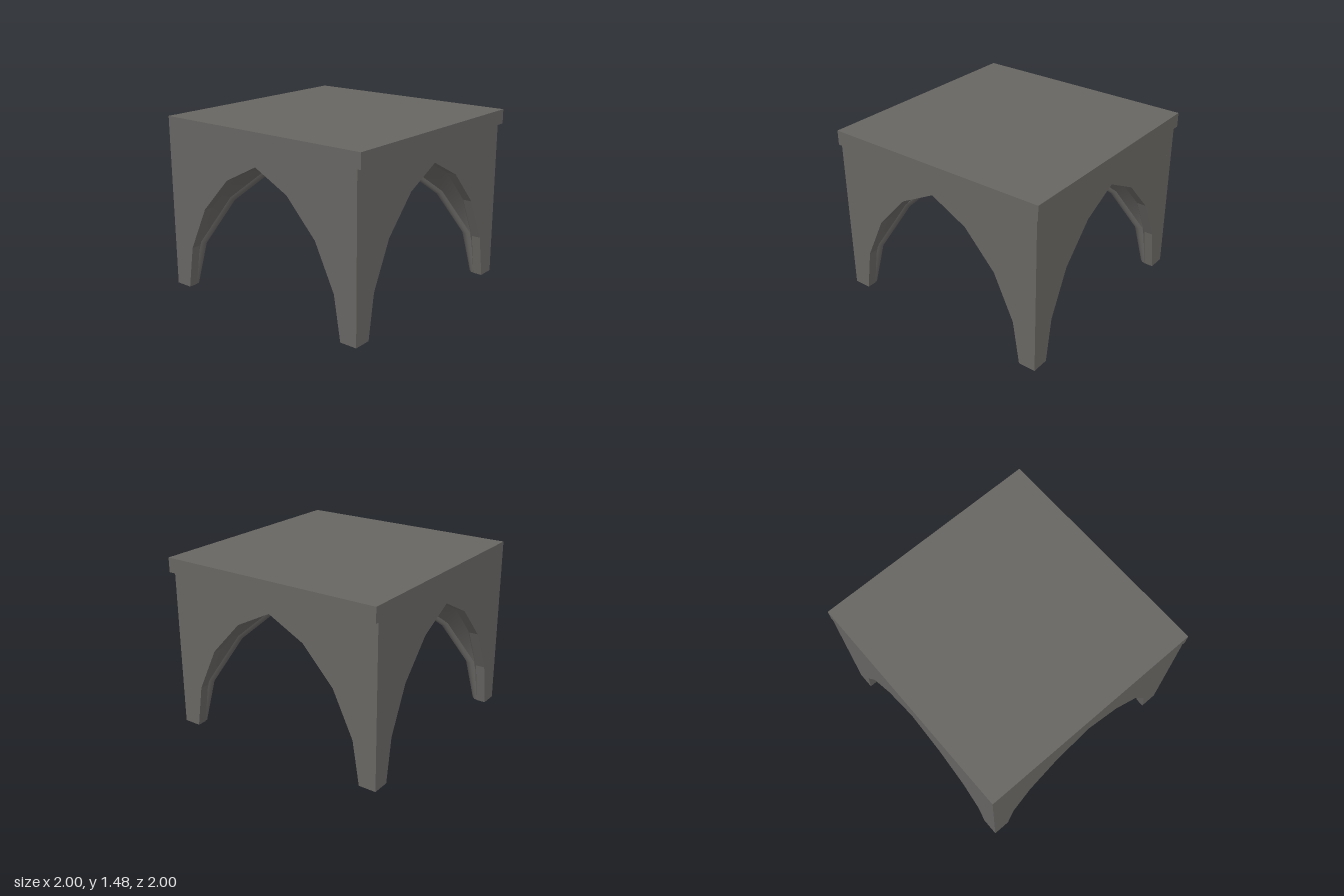
import * as THREE from 'three';

// Half profile of the pointed arch (half width, height) and the vault line just behind it
const ARCH = [[0.835, 0], [0.775, 0.37], [0.595, 0.747], [0.32, 1.042], [0, 1.205]];
const VAULT = [[0.87, 0], [0.81, 0.385], [0.627, 0.772], [0.337, 1.075], [0, 1.245]];
const HALF = 0.985, WALL = 0.08, WALL_TOP = 1.355, TOP = 1.48;

// Both sides of a half profile, from right foot over the apex to left foot
const whole = (half) => [...half, ...half.slice(0, -1).reverse().map(([x, y]) => [-x, y])];

// Smooth surface through rows of points
function loft(rows) {
  const n = rows[0].length, index = [];
  for (let i = 0; i < rows.length - 1; i++) {
    for (let j = 0; j < n - 1; j++) {
      const a = i * n + j, b = a + n;
      index.push(a, b, a + 1, b, b + 1, a + 1);
    }
  }
  const geo = new THREE.BufferGeometry();
  geo.setAttribute('position', new THREE.Float32BufferAttribute(rows.flat(2), 3));
  geo.setIndex(index);
  geo.computeVertexNormals();
  return geo;
}

// Outer wall with the arch cut out of it
function wallGeometry() {
  const s = new THREE.Shape();
  s.moveTo(-HALF, 0);
  s.lineTo(-HALF, WALL_TOP);
  s.lineTo(HALF, WALL_TOP);
  s.lineTo(HALF, 0);
  whole(ARCH).forEach(([x, y]) => s.lineTo(x, y));
  const geo = new THREE.ExtrudeGeometry(s, { depth: WALL, bevelEnabled: false });
  return geo.translate(0, 0, HALF - WALL);
}

// Slanted inner edge of the arch, leading back to the vault
function bevelGeometry() {
  const outer = whole(VAULT);
  return loft(whole(ARCH).map(([x, y], i) => [
    [x, y, HALF - WALL], [outer[i][0], outer[i][1], HALF - WALL - 0.035],
  ]));
}

// One half of a vault bay, from the wall back to the diagonal groin
function webGeometry(side) {
  return loft(VAULT.map(([x, y]) => [[side * x, y, HALF - WALL - 0.03], [side * x, y, x]]));
}

// Diagonal rib from one foot to the crown
function ribGeometry() {
  const section = [[-0.06, 0.05], [-0.048, 0.022], [-0.025, 0], [0.025, 0], [0.048, 0.022], [0.06, 0.05]];
  const path = ARCH.map(([p, y]) => [p === 0 ? 0 : (p + 0.025) * Math.SQRT2, y]);
  const last = path.length - 1;
  return loft(path.map(([d, y], i) => {
    let n = new THREE.Vector2(1, 0);
    if (i === last) n.set(0, 1);
    else if (i > 0) {
      n.set(path[i + 1][1] - path[i - 1][1], path[i - 1][0] - path[i + 1][0]).normalize();
    }
    return section.map(([l, h]) => {
      const out = d + n.x * h;
      return [(out + l) / Math.SQRT2, y + n.y * h, (out - l) / Math.SQRT2];
    });
  }));
}

// Sole of a leg: a square with its inner corner cut off
function footGeometry() {
  const a = HALF, b = 0.835, c = HALF - WALL;
  const s = new THREE.Shape([[a, a], [b, a], [b, c], [c, b], [a, b]].map(([x, z]) => new THREE.Vector2(x, -z)));
  return new THREE.ExtrudeGeometry(s, { depth: 0.01, bevelEnabled: false }).rotateX(-Math.PI / 2);
}

export function createModel() {
  const model = new THREE.Group();
  model.name = 'vaultedBay';
  const stone = new THREE.MeshStandardMaterial({ color: 0x686663, side: THREE.DoubleSide });
  stone.name = 'greyStone';

  const add = (parent, name, geo) => {
    const mesh = new THREE.Mesh(geo, stone);
    mesh.name = name;
    parent.add(mesh);
    return mesh;
  };

  // Roof slab, overhanging on two sides only
  add(model, 'roofSlab', new THREE.BoxGeometry(2, TOP - WALL_TOP, 2)).position.y = (TOP + WALL_TOP) / 2;

  // Four equal sides, each with wall, vault bay, rib and foot
  const body = new THREE.Group();
  body.name = 'body';
  body.position.set(-0.015, 0, 0.015);
  model.add(body);
  const parts = [
    ['archWall', wallGeometry()],
    ['archBevel', bevelGeometry()],
    ['vaultWebLeft', webGeometry(1)],
    ['vaultWebRight', webGeometry(-1)],
    ['diagonalRib', ribGeometry()],
    ['legFoot', footGeometry()],
  ];
  ['front', 'left', 'back', 'right'].forEach((name, i) => {
    const side = new THREE.Group();
    side.name = name + 'Side';
    side.rotation.y = i * Math.PI / 2;
    parts.forEach(([part, geo]) => add(side, part, geo));
    body.add(side);
  });
  return model;
}
